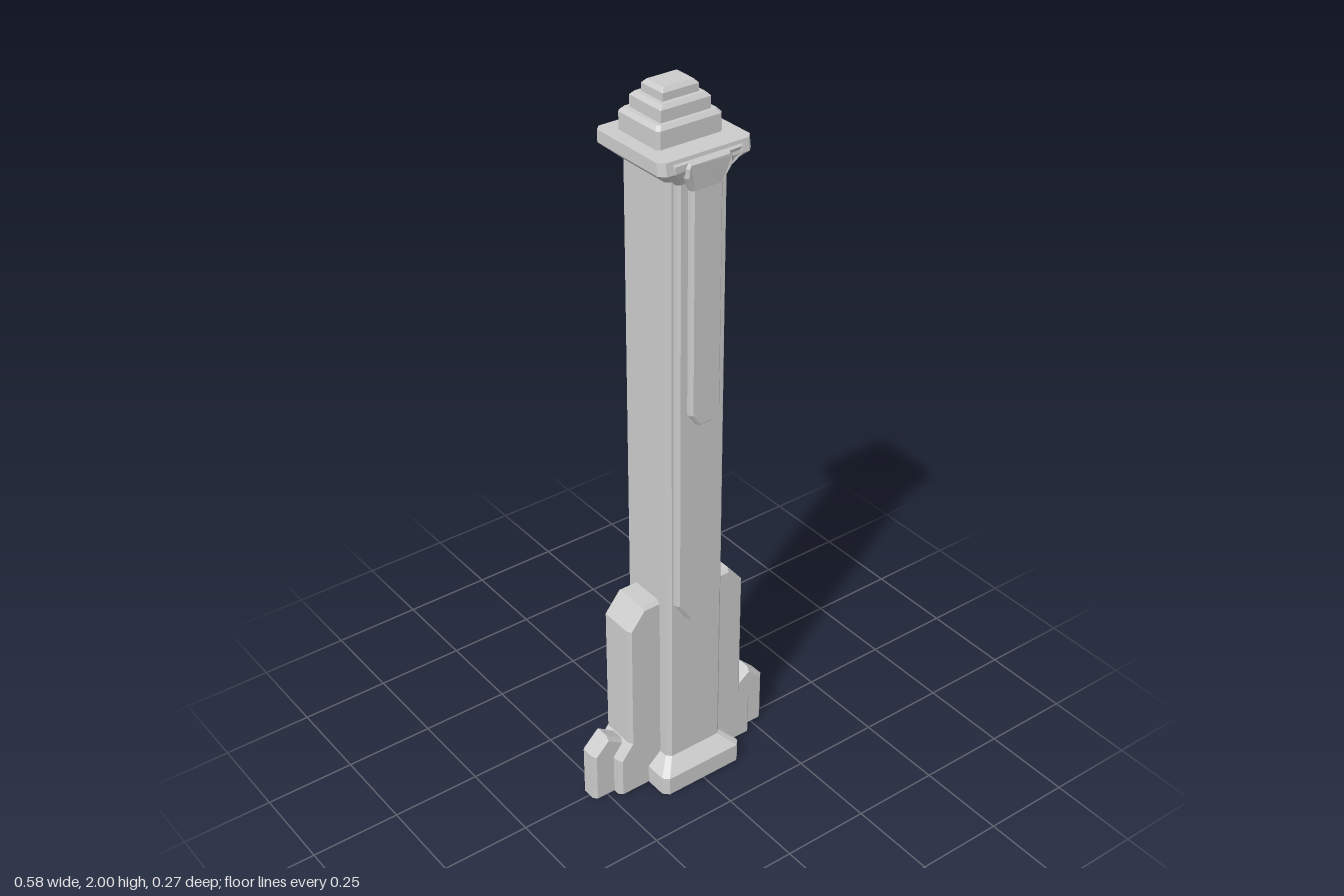
import * as THREE from 'three';

const material = new THREE.MeshStandardMaterial({ color: 0xcccccc, flatShading: true });

function addMesh(group, name, geometry) {
  const mesh = new THREE.Mesh(geometry, material);
  mesh.name = name;
  group.add(mesh);
  return mesh;
}

// Chamfered rectangle as eight corners, counted from +x towards +z
function ring({ y, x, front, back, c }) {
  return [
    [x, y, back + c], [x, y, front - c], [x - c, y, front], [c - x, y, front],
    [-x, y, front - c], [-x, y, back + c], [c - x, y, back], [x - c, y, back],
  ];
}

// Closed solid through a stack of chamfered rectangles, bottom to top
function loft(sections) {
  const rings = sections.map(ring);
  const positions = [];
  const tri = (a, b, c) => positions.push(...a, ...b, ...c);
  for (let r = 0; r < rings.length - 1; r++) {
    for (let i = 0; i < 8; i++) {
      const j = (i + 1) % 8;
      const a = rings[r][i], b = rings[r][j], c = rings[r + 1][j], d = rings[r + 1][i];
      tri(a, d, c);
      tri(a, c, b);
    }
  }
  const low = rings[0], high = rings[rings.length - 1];
  for (let i = 1; i < 7; i++) {
    tri(low[0], low[i], low[i + 1]);
    tri(high[0], high[i + 1], high[i]);
  }
  const geometry = new THREE.BufferGeometry();
  geometry.setAttribute('position', new THREE.Float32BufferAttribute(positions, 3));
  geometry.computeVertexNormals();
  return geometry;
}

// Outline extruded between two depths, with a bevel kept inside its size
function plate(points, back, front, bevel) {
  const shape = new THREE.Shape(points.map(([x, y]) => new THREE.Vector2(x, y)));
  const geometry = new THREE.ExtrudeGeometry(shape, {
    depth: front - back - 2 * bevel, bevelEnabled: true, bevelThickness: bevel,
    bevelSize: bevel, bevelOffset: -bevel, bevelSegments: 1,
  });
  return geometry.translate(0, 0, back + bevel);
}

function moveVertices(geometry, rule) {
  const p = geometry.attributes.position;
  const v = new THREE.Vector3();
  for (let i = 0; i < p.count; i++) {
    rule(v.fromBufferAttribute(p, i));
    p.setXYZ(i, v.x, v.y, v.z);
  }
  geometry.computeVertexNormals();
  return geometry;
}

// Both halves of a symmetrical outline from its right half, bottom to top
const mirrored = (half) => [...half, ...half.map(([x, y]) => [-x, y]).reverse()];

export function createModel() {
  const model = new THREE.Group();
  model.name = 'tower';

  // Plinth with a sloped shoulder
  addMesh(model, 'plinth', loft([
    { y: 0, x: 0.13, front: 0.13, back: -0.13, c: 0.015 },
    { y: 0.055, x: 0.13, front: 0.13, back: -0.13, c: 0.015 },
    { y: 0.09, x: 0.09, front: 0.09, back: -0.09, c: 0.012 },
  ]));

  // Shaft
  addMesh(model, 'shaft', loft([
    { y: 0.05, x: 0.09, front: 0.09, back: -0.09, c: 0.012 },
    { y: 1.83, x: 0.09, front: 0.09, back: -0.09, c: 0.012 },
  ]));

  // Flared head
  addMesh(model, 'head', loft([
    { y: 1.805, x: 0.09, front: 0.09, back: -0.09, c: 0.012 },
    { y: 1.843, x: 0.133, front: 0.127, back: -0.135, c: 0.015 },
    { y: 1.875, x: 0.133, front: 0.122, back: -0.135, c: 0.015 },
  ]));

  // Stepped cap, set slightly to the back
  const tiers = [
    [1.87, 1.93, 0.094, -0.098, 0.06],
    [1.925, 1.97, 0.072, -0.078, 0.042],
    [1.965, 2.0, 0.052, -0.059, 0.022],
  ];
  tiers.forEach(([low, high, x, back, front], i) => {
    const c = i === 0 ? 0.008 : 0.001;
    addMesh(model, `capTier${i + 1}`, loft([
      { y: low, x, front, back, c },
      { y: high - 0.01, x, front, back, c },
      { y: high, x: x - 0.009, front: front - 0.009, back: back + 0.009, c },
    ]));
  });

  // Two layered front panels, widening and leaning forward under the head
  const widePanel = plate(mirrored([
    [0.032, 0.545], [0.072, 0.605], [0.072, 1.8], [0.102, 1.84], [0.102, 1.868],
  ]), 0.07, 0.108, 0.007);
  addMesh(model, 'widePanel', moveVertices(widePanel, (v) => {
    v.z += 0.02 * THREE.MathUtils.clamp((v.y - 1.8) / 0.04, 0, 1);
  }));
  const narrowPanel = plate(mirrored([
    [0.02, 1.15], [0.045, 1.185], [0.045, 1.785], [0.066, 1.825], [0.066, 1.85], [0.058, 1.862],
  ]), 0.09, 0.126, 0.006);
  addMesh(model, 'narrowPanel', moveVertices(narrowPanel, (v) => {
    v.z += 0.008 * THREE.MathUtils.clamp((v.y - 1.785) / 0.04, 0, 1);
  }));

  // Side buttresses, flattened at the ground
  const mainOutline = [
    [0.05, -0.03], [0.226, -0.03], [0.226, 0.12], [0.19, 0.165],
    [0.19, 0.545], [0.143, 0.603], [0.05, 0.603],
  ];
  const outerOutline = [
    [0.16, -0.03], [0.291, -0.03], [0.291, 0.15], [0.242, 0.198], [0.16, 0.14],
  ];
  const toGround = (v) => { v.y = Math.max(v.y, 0); };
  for (const [side, sign] of [['left', 1], ['right', -1]]) {
    const group = new THREE.Group();
    group.name = `${side}Buttress`;
    const parts = [['mainFin', mainOutline, -0.059, 0.053], ['outerFin', outerOutline, -0.032, 0.025]];
    for (const [name, outline, back, front] of parts) {
      const points = outline.map(([x, y]) => [sign * x, y]);
      addMesh(group, name, moveVertices(plate(points, back, front, 0.01), toGround));
    }
    model.add(group);
  }

  return model;
}
